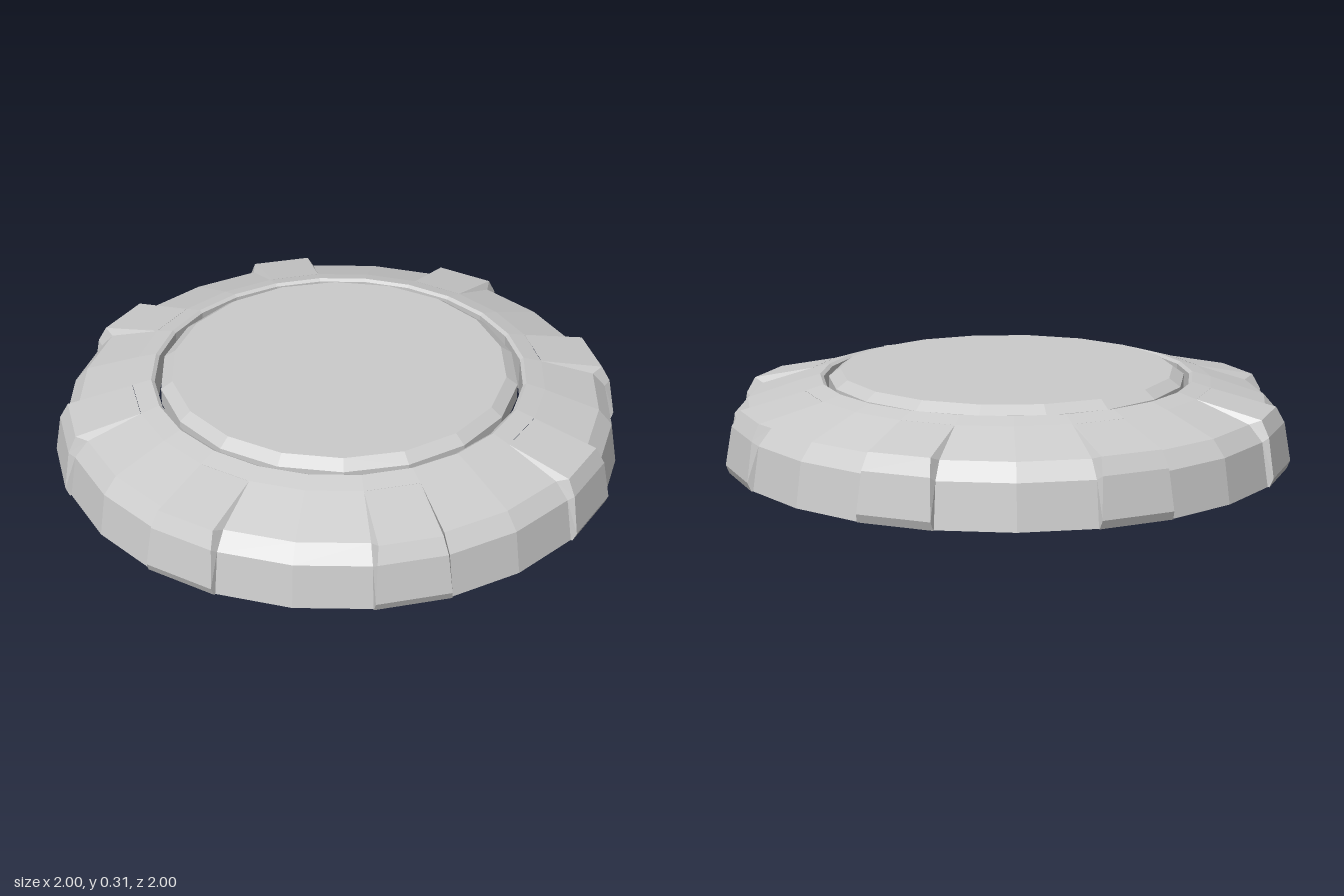
import * as THREE from 'three';

const DEG = Math.PI / 180;
const material = new THREE.MeshStandardMaterial({ color: 0xcccccc, flatShading: true, side: THREE.DoubleSide });

// Point at an angle (degrees from the front, towards +x) for a [radius, height] pair
const at = ([r, y], a) => [r * Math.sin(a * DEG), y, r * Math.cos(a * DEG)];

function meshFromTriangles(name, positions) {
  const geometry = new THREE.BufferGeometry();
  geometry.setAttribute('position', new THREE.Float32BufferAttribute(positions, 3));
  geometry.computeVertexNormals();
  const mesh = new THREE.Mesh(geometry, material);
  mesh.name = name;
  return mesh;
}

// Profiles as [radius, height], from the outer bottom edge inwards
const wall = [[0.982, 0], [0.958, 0.15], [0.91, 0.205], [0.72, 0.27]];
const lip = [[0.72, 0.27], [0.655, 0.288], [0.643, 0.28], [0.643, 0.16]];
const grip = [[0.988, 0], [1.0, 0.03], [0.977, 0.165], [0.947, 0.22], [0.72, 0.27]];
const gripInset = [0, 0.3, 0.7, 1.1, 0.6]; // sideways taper in degrees

// Strip of faces along a profile between two angles
function strip(out, profile, a0, a1, inset = []) {
  for (let i = 0; i < profile.length - 1; i++) {
    const s = inset[i] || 0, t = inset[i + 1] || 0;
    const a = at(profile[i], a0 + s), b = at(profile[i], a1 - s);
    const c = at(profile[i + 1], a1 - t), d = at(profile[i + 1], a0 + t);
    out.push(...a, ...b, ...c, ...a, ...c, ...d);
  }
}

// Side cheek of a grip, closing the step between the wall and the raised face
function cheek(out, angle, sign) {
  const w = wall.map(p => at(p, angle));
  const g = grip.map((p, i) => at(p, angle + sign * gripInset[i]));
  const faces = [
    [w[0], g[0], g[1]], [w[0], g[1], w[1]], [w[1], g[1], g[2]],
    [w[1], g[2], w[2]], [w[2], g[2], g[3]], [w[2], g[3], w[3]], [w[3], g[3], g[4]],
  ];
  for (const [a, b, c] of faces) out.push(...(sign > 0 ? [...a, ...b, ...c] : [...a, ...c, ...b]));
}

export function createModel() {
  const group = new THREE.Group();
  group.name = 'roundCap';

  // Hollow outer ring of 24 sectors, every third one raised into a grip
  const ring = [], grips = [];
  for (let k = 0; k < 24; k++) {
    const a0 = k * 15, a1 = a0 + 15;
    strip(ring, lip, a0, a1);
    if (k % 3 === 0) {
      strip(grips, grip, a0, a1, gripInset);
      cheek(grips, a0, 1);
      cheek(grips, a1, -1);
    } else {
      strip(ring, wall, a0, a1);
    }
  }
  group.add(meshFromTriangles('outerRing', ring), meshFromTriangles('grips', grips));

  // Bevelled centre disc, set into the ring with a narrow gap
  const profile = [[0, 0.22], [0.625, 0.22], [0.625, 0.28], [0.585, 0.308], [0, 0.308]];
  const disc = new THREE.Mesh(
    new THREE.LatheGeometry(profile.map(([r, y]) => new THREE.Vector2(r, y)), 18, Math.PI),
    material
  );
  disc.name = 'centreDisc';
  group.add(disc);

  return group;
}
